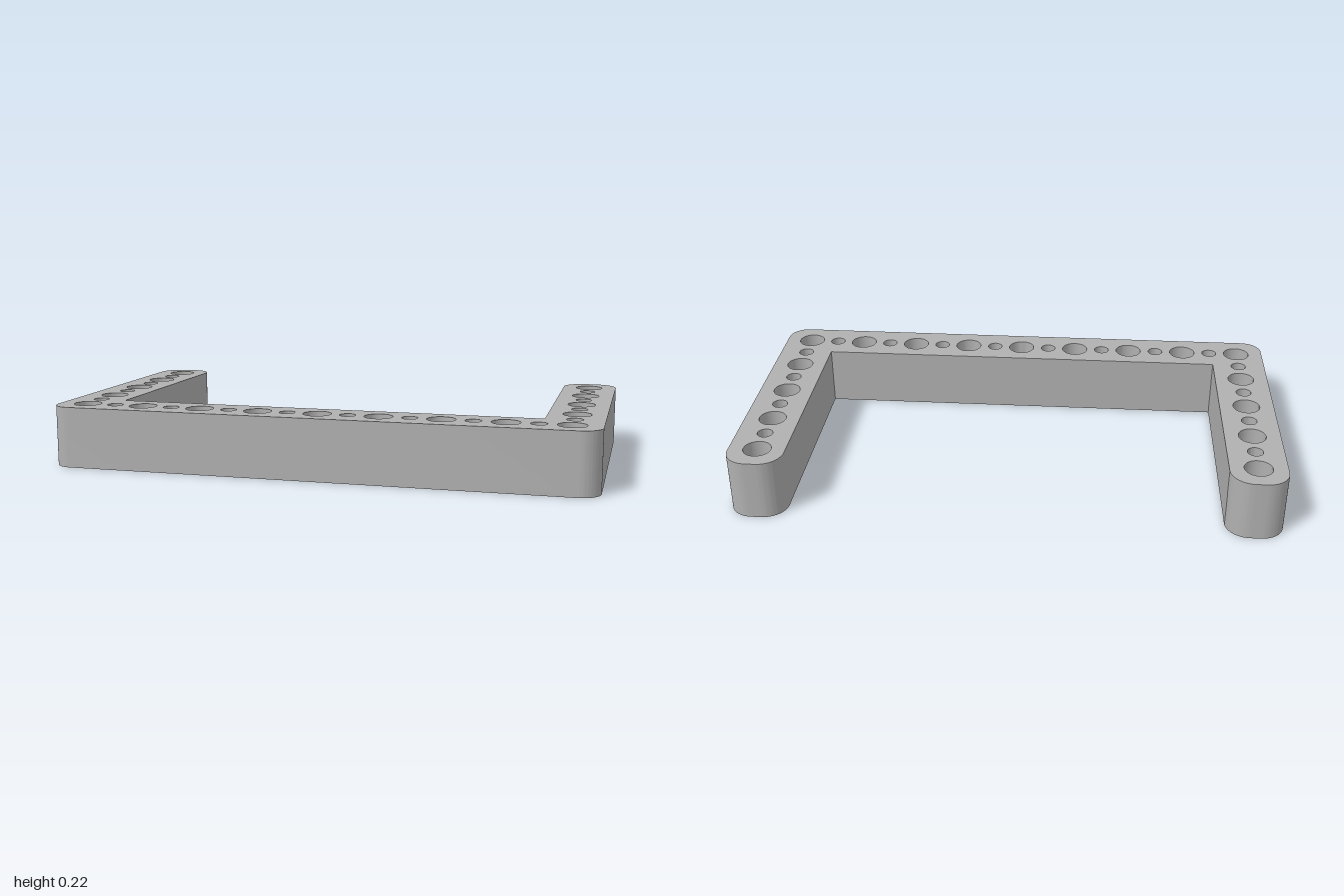
import * as THREE from 'three';
import { toCreasedNormals } from 'three/addons/utils/BufferGeometryUtils.js';

const HALF_W = 1, HALF_D = 0.553, HEIGHT = 0.225, BEAM = 0.208;
const PITCH = 0.2237, BIG = 0.051, SMALL = 0.029;
const FRONT_R = 0.075, END_R = 0.085;

// U-shaped outline, drawn in x and -z, anticlockwise
function frameOutline() {
  const s = new THREE.Shape();
  const ix = HALF_W - BEAM, iy = -HALF_D + BEAM, P = Math.PI;
  const corner = (x, y, r, a) => s.absarc(x, y, r, a, a + P / 2, false);
  s.moveTo(-HALF_W + FRONT_R, -HALF_D);
  corner(HALF_W - FRONT_R, -HALF_D + FRONT_R, FRONT_R, -P / 2);
  corner(HALF_W - END_R, HALF_D - END_R, END_R, 0);
  corner(ix + END_R, HALF_D - END_R, END_R, P / 2);
  s.lineTo(ix, iy);
  s.lineTo(-ix, iy);
  corner(-ix - END_R, HALF_D - END_R, END_R, 0);
  corner(-HALF_W + END_R, HALF_D - END_R, END_R, P / 2);
  corner(-HALF_W + FRONT_R, -HALF_D + FRONT_R, FRONT_R, P);
  s.closePath();
  return s;
}

export function createModel() {
  const group = new THREE.Group();
  const grey = new THREE.MeshStandardMaterial({ color: 0xb0b0b0 });
  grey.name = 'grey';

  const shape = frameOutline();
  const drill = (x, y, r) => {
    const hole = new THREE.Path();
    hole.absarc(x, y, r, 0, Math.PI * 2, true);
    shape.holes.push(hole);
  };

  // alternating large and small through-holes along the crossbar
  for (let i = -8; i <= 8; i++) {
    drill(i * PITCH / 2, -2 * PITCH, i % 2 ? SMALL : BIG);
  }
  // and along both arms, sharing the corner holes
  for (const side of [-1, 1]) {
    for (let i = -3; i <= 4; i++) {
      drill(side * 4 * PITCH, i * PITCH / 2, i % 2 ? SMALL : BIG);
    }
  }

  const geometry = new THREE.ExtrudeGeometry(shape, {
    depth: HEIGHT, bevelEnabled: false, curveSegments: 16,
  });
  geometry.rotateX(-Math.PI / 2);
  const frame = new THREE.Mesh(toCreasedNormals(geometry, 0.5), grey);
  frame.name = 'perforatedFrame';
  group.add(frame);
  return group;
}
